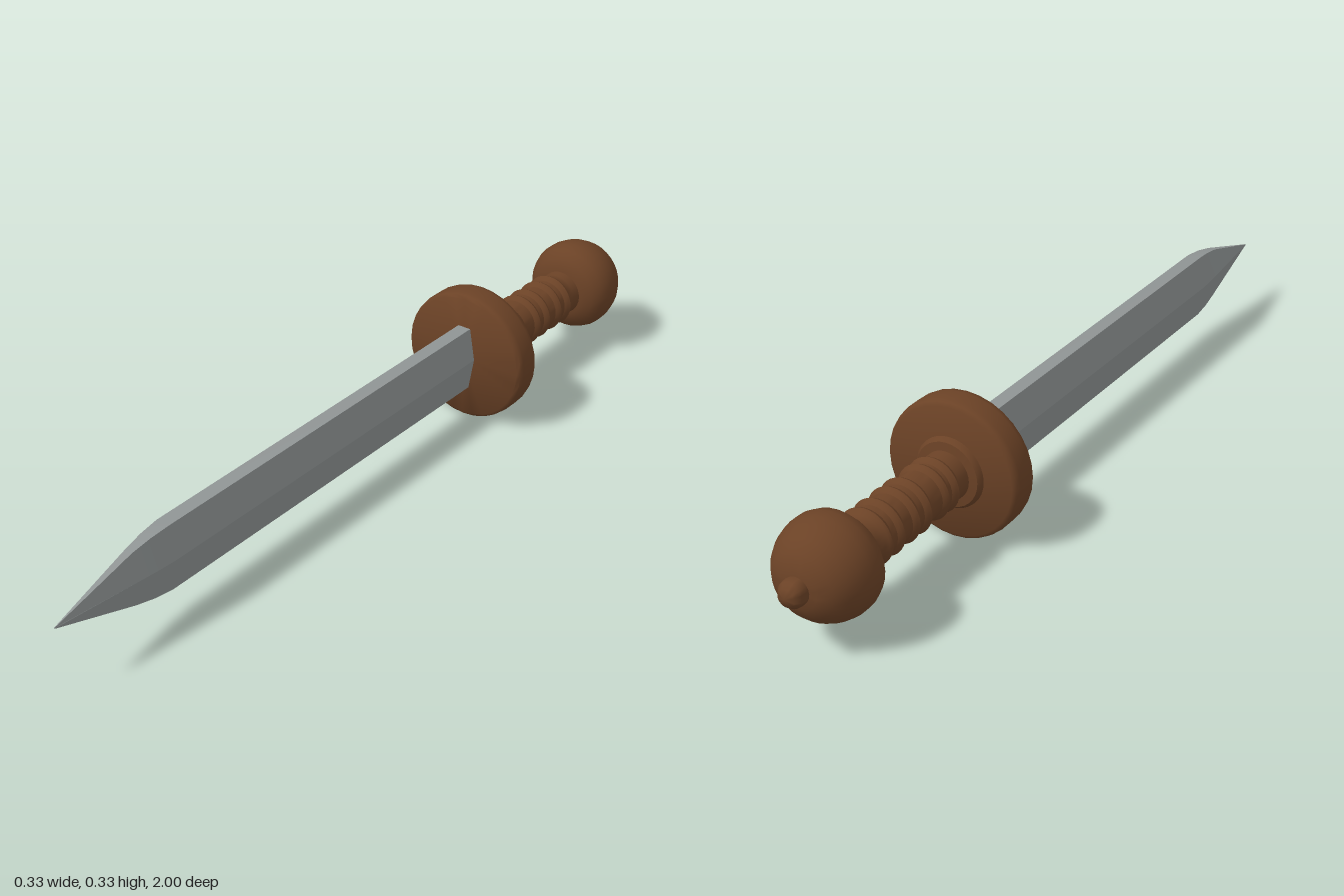
import * as THREE from 'three';
import { toCreasedNormals } from 'three/addons/utils/BufferGeometryUtils.js';

const AXIS_Y = 0.163;

// Turned part along the sword's axis; profile is [radius, distance behind centre]
function turned(name, profile, material, segments = 32) {
  const points = profile.map(([r, d]) => new THREE.Vector2(r, d));
  const geometry = toCreasedNormals(new THREE.LatheGeometry(points, segments), 0.75);
  geometry.rotateX(-Math.PI / 2);
  const mesh = new THREE.Mesh(geometry, material);
  mesh.name = name;
  return mesh;
}

// Blade lofted through six-sided sections [z, half height, ridge half width, edge half width]
function bladeGeometry(sections) {
  const positions = [];
  const index = [];
  for (const [z, h, w, e] of sections) {
    for (const [x, y] of [[w, 0], [e, h], [-e, h], [-w, 0], [-e, -h], [e, -h]]) positions.push(x, y, z);
  }
  for (let s = 0; s < sections.length - 1; s++) {
    for (let i = 0; i < 6; i++) {
      const j = (i + 1) % 6;
      const a = s * 6 + i, b = s * 6 + j;
      index.push(a, b, b + 6, a, b + 6, a + 6);
    }
  }
  for (let i = 1; i < 5; i++) index.push(0, i + 1, i);
  const geometry = new THREE.BufferGeometry();
  geometry.setAttribute('position', new THREE.Float32BufferAttribute(positions, 3));
  geometry.setIndex(index);
  return toCreasedNormals(geometry, 0.2);
}

export function createModel() {
  const wood = new THREE.MeshStandardMaterial({ color: 0x6b4226 });
  wood.name = 'brown wood';
  const steel = new THREE.MeshStandardMaterial({ color: 0x8f9494 });
  steel.name = 'grey steel';

  const sword = new THREE.Group();
  sword.name = 'shortSword';
  sword.position.y = AXIS_Y;

  // Blade with a central ridge, blunt edges and a pointed tip
  const blade = new THREE.Mesh(bladeGeometry([
    [-0.38, 0.08, 0.031, 0.017],
    [0.69, 0.079, 0.031, 0.017],
    [0.74, 0.074, 0.028, 0.014],
    [0.79, 0.064, 0.023, 0.01],
    [1.0, 0.001, 0.001, 0.0005],
  ]), steel);
  blade.name = 'blade';
  sword.add(blade);

  // Round guard
  sword.add(turned('guard', [
    [0, 0.36], [0.154, 0.36], [0.161, 0.366], [0.163, 0.378],
    [0.163, 0.418], [0.16, 0.429], [0.152, 0.435], [0, 0.437],
  ], wood));

  // Collar between guard and grip
  sword.add(turned('collar', [
    [0.084, 0.43], [0.083, 0.44], [0.076, 0.449], [0.055, 0.452],
  ], wood));

  // Grip waisted between raised finger rings
  const grip = [[0.057, 0.44]];
  for (const d of [0.5, 0.535, 0.6, 0.642, 0.695, 0.737]) {
    grip.push([0.056, d - 0.013], [0.062, d - 0.007], [0.065, d], [0.062, d + 0.007], [0.056, d + 0.013]);
  }
  grip.push([0.054, 0.77], [0.058, 0.81]);
  sword.add(turned('grip', grip, wood));

  // Domed pommel, widest toward the grip
  sword.add(turned('pommel', [
    [0, 0.79], [0.062, 0.791], [0.088, 0.802], [0.105, 0.82], [0.113, 0.843],
    [0.113, 0.87], [0.106, 0.898], [0.093, 0.923], [0.073, 0.945], [0.045, 0.959], [0, 0.964],
  ], wood));

  // End knob
  sword.add(turned('knob', [
    [0.028, 0.95], [0.031, 0.968], [0.029, 0.982], [0.02, 0.994], [0, 1.0],
  ], wood, 20));

  const model = new THREE.Group();
  model.add(sword);
  return model;
}
